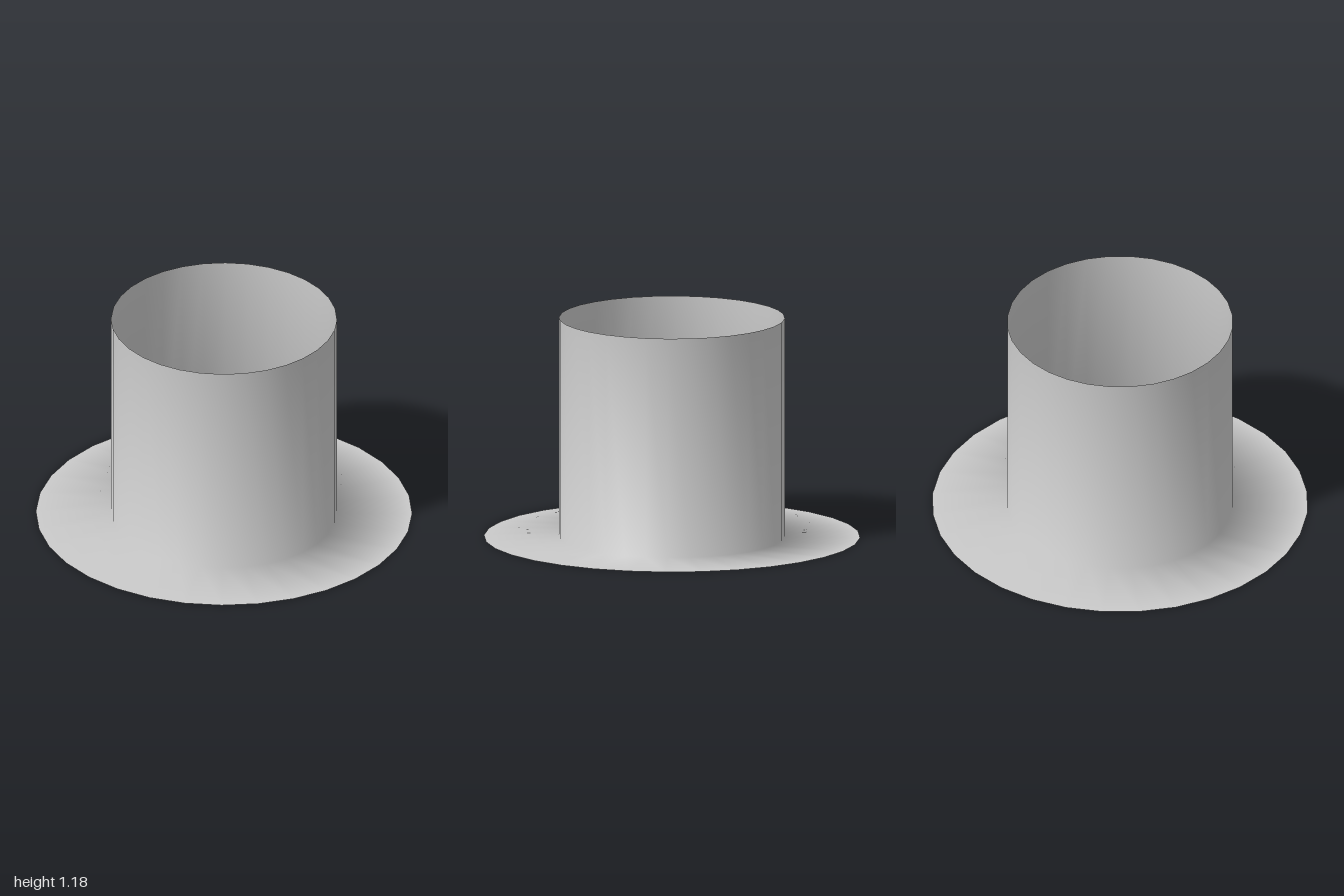
import * as THREE from 'three';

const SEGMENTS = 32;

export function createModel() {
  const group = new THREE.Group();
  group.name = 'flangedSleeve';
  const material = new THREE.MeshStandardMaterial({ color: 0xcccccc, side: THREE.DoubleSide });

  // Thin flat brim running smoothly into the open-topped wall
  const profile = [[1, 0], [0.6, 0], [0.6, 1.185]].map(([r, y]) => new THREE.Vector2(r, y));
  const sleeve = new THREE.Mesh(new THREE.LatheGeometry(profile, SEGMENTS), material);
  sleeve.name = 'brimAndWall';
  group.add(sleeve);

  // Flat floor ring with a round hole, closing in the bottom of the wall
  const ringGeometry = new THREE.RingGeometry(0.36, 0.6, SEGMENTS);
  ringGeometry.rotateX(-Math.PI / 2);
  const floorRing = new THREE.Mesh(ringGeometry, material);
  floorRing.name = 'floorRing';
  group.add(floorRing);

  return group;
}
